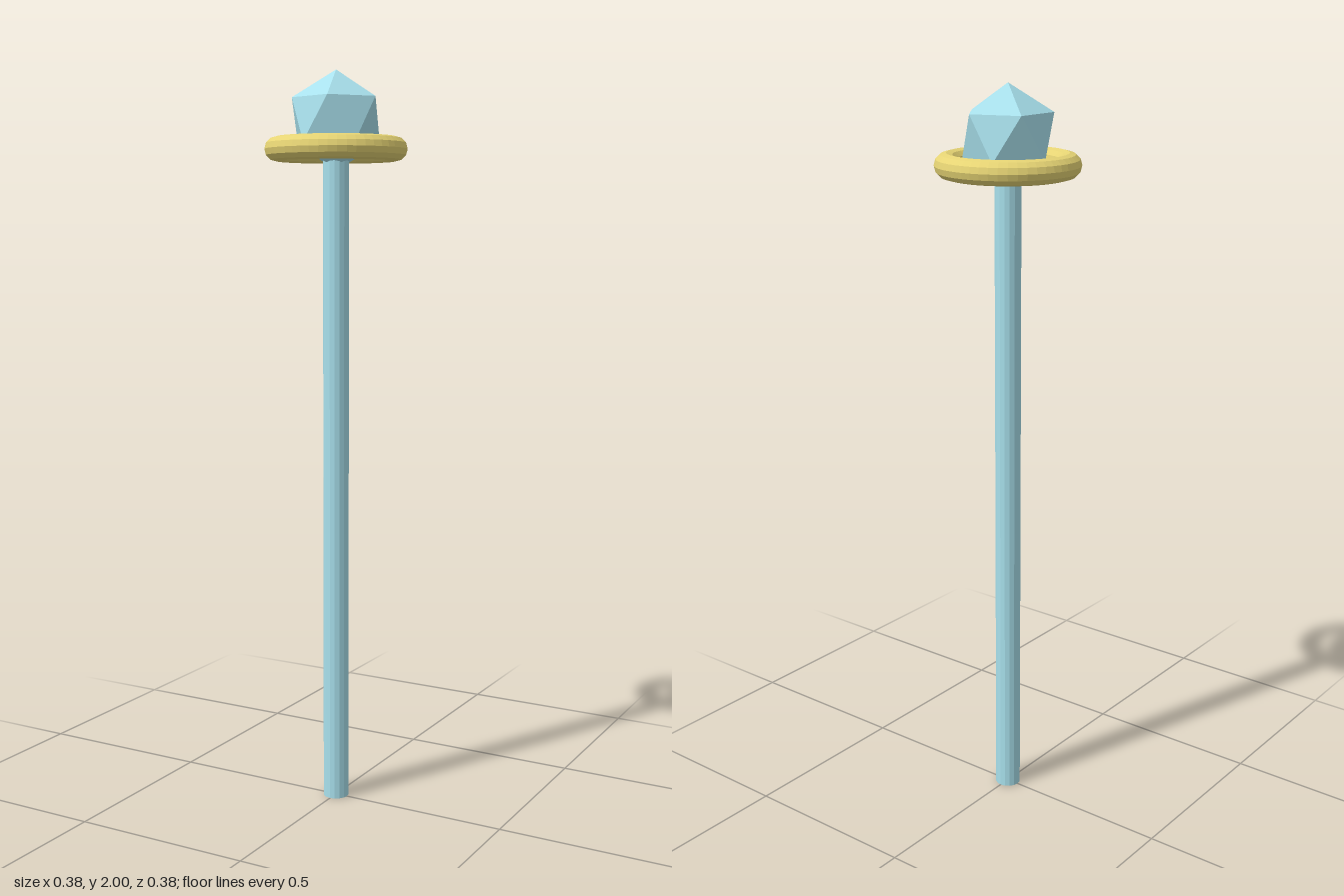
import * as THREE from 'three';

export function createModel() {
  const model = new THREE.Group();
  const crystal = new THREE.MeshStandardMaterial({ color: 0xa8e0ec, flatShading: true });
  const gold = new THREE.MeshStandardMaterial({ color: 0xe6d474, flatShading: true });

  const add = (name, geometry, material, y) => {
    const mesh = new THREE.Mesh(geometry, material);
    mesh.name = name;
    mesh.position.y = y;
    model.add(mesh);
    return mesh;
  };

  // Long shaft, its top buried in the gem
  const shaftHeight = 1.77;
  add('shaft', new THREE.CylinderGeometry(0.035, 0.035, shaftHeight, 16), crystal, shaftHeight / 2);

  // Floating ring around the lower half of the gem
  const ring = new THREE.TorusGeometry(0.158, 0.032, 12, 48).rotateX(Math.PI / 2);
  add('ring', ring, gold, 1.795);

  // Twenty-sided gem, tipped to stand on one of its points
  const gemRadius = 0.131;
  const tilt = Math.atan(2 / (1 + Math.sqrt(5)));
  const gem = new THREE.IcosahedronGeometry(gemRadius, 0).rotateZ(-tilt);
  add('gem', gem, crystal, 2 - gemRadius);

  return model;
}
